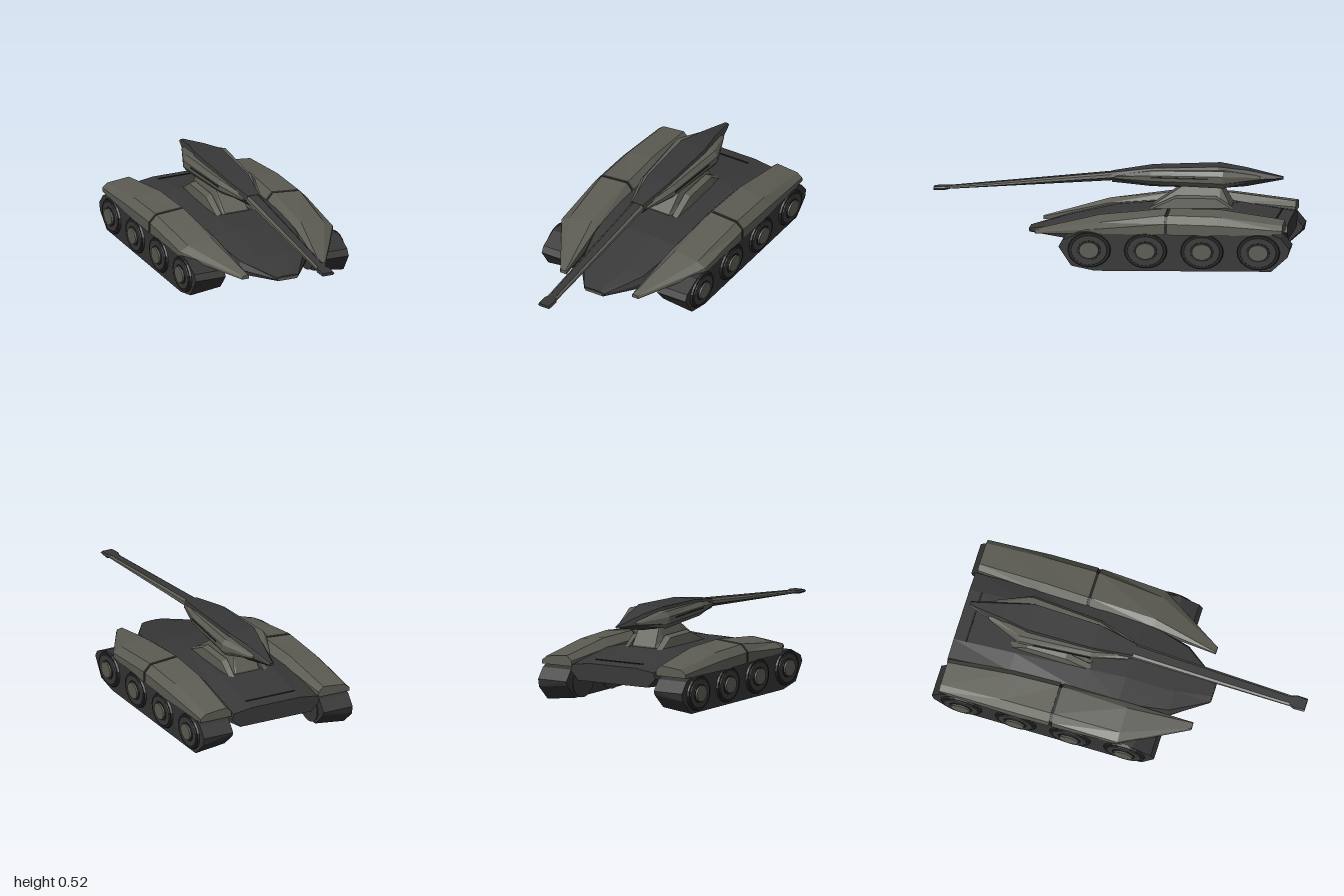
import * as THREE from 'three';

const mat = (name, color) => {
  const m = new THREE.MeshStandardMaterial({ color, flatShading: true });
  m.name = name;
  return m;
};

// Skins rings of [x, y] points (counterclockwise seen from the front), ordered back to front: [z, ring]
function loft(stations) {
  const pos = [];
  const rings = stations.map(([z, pts]) => pts.map(([x, y]) => [x, y, z]));
  const tri = (a, b, c) => pos.push(...a, ...b, ...c);
  const n = rings[0].length;
  for (let i = 0; i < rings.length - 1; i++) {
    for (let j = 0; j < n; j++) {
      const k = (j + 1) % n;
      tri(rings[i][j], rings[i][k], rings[i + 1][k]);
      tri(rings[i][j], rings[i + 1][k], rings[i + 1][j]);
    }
  }
  const back = rings[0], front = rings[rings.length - 1];
  for (let j = 1; j < n - 1; j++) {
    tri(back[0], back[j + 1], back[j]);
    tri(front[0], front[j], front[j + 1]);
  }
  const g = new THREE.BufferGeometry();
  g.setAttribute('position', new THREE.Float32BufferAttribute(pos, 3));
  g.computeVertexNormals();
  return g;
}

// Completes half a ring (bottom to top, x > 0) by mirroring
const sym = (half) => [...half, ...half.slice().reverse().map(([x, y]) => [-x, y])];
const symLoft = (st) => loft(st.map(([z, half]) => [z, sym(half)]));

// Reflects a geometry across x = 0 and keeps its faces outward
function mirrored(geo) {
  const g = geo.index ? geo.toNonIndexed() : geo.clone();
  const p = g.attributes.position;
  const v = [0, 1, 2].map(() => new THREE.Vector3());
  for (let i = 0; i < p.count; i += 3) {
    v.forEach((q, k) => q.fromBufferAttribute(p, i + k));
    [v[0], v[2], v[1]].forEach((q, k) => p.setXYZ(i + k, -q.x, q.y, q.z));
  }
  g.computeVertexNormals();
  return g;
}

export function createModel() {
  const root = new THREE.Group();
  root.name = 'hoverTank';
  root.name = 'tank';
  const light = mat('olive grey armour', 0x5c5c54);
  const dark = mat('dark grey armour', 0x383838);
  const track = mat('track grey', 0x343434);
  const black = mat('seam black', 0x222222);

  const add = (name, geo, material) => {
    const m = new THREE.Mesh(geo, material);
    m.name = name;
    root.add(m);
    return m;
  };
  const pair = (name, geo, material) => {
    add('left' + name, geo, material);
    add('right' + name, mirrored(geo), material);
  };

  // Hull
  add('hull', symLoft([
    [-0.97, [[0.22, 0.15], [0.27, 0.2], [0.26, 0.235], [0.15, 0.25]]],
    [-0.62, [[0.28, 0.13], [0.28, 0.22], [0.25, 0.28], [0.15, 0.305]]],
    [-0.2, [[0.28, 0.13], [0.28, 0.22], [0.25, 0.28], [0.12, 0.295]]],
    [0, [[0.28, 0.13], [0.28, 0.2], [0.25, 0.265], [0.1, 0.28]]],
    [0.27, [[0.2, 0.14], [0.21, 0.17], [0.19, 0.21], [0.08, 0.22]]],
    [0.47, [[0.055, 0.145], [0.065, 0.155], [0.065, 0.165], [0.03, 0.17]]],
  ]), dark);
  add('nosePlate', new THREE.BoxGeometry(0.11, 0.014, 0.006).translate(0, 0.156, 0.471), light);
  const line = new THREE.BoxGeometry(0.3, 0.006, 0.008).rotateX(-0.16).translate(0, 0.262, -0.9);
  add('deckSeam', line, black);

  // Fenders, split by a seam
  const seamRing = [[0.235, 0.21], [0.47, 0.21], [0.47, 0.27], [0.43, 0.312], [0.27, 0.325], [0.235, 0.285]];
  const inset = seamRing.map(([x, y]) => [0.352 + (x - 0.352) * 0.95, 0.26 + (y - 0.26) * 0.9]);
  pair('RearFender', loft([
    [-0.96, [[0.27, 0.22], [0.46, 0.22], [0.46, 0.24], [0.43, 0.265], [0.3, 0.278], [0.27, 0.25]]],
    [-0.6, [[0.24, 0.21], [0.47, 0.21], [0.47, 0.265], [0.43, 0.307], [0.28, 0.325], [0.24, 0.28]]],
    [-0.328, seamRing],
  ]), light);
  pair('FenderSeam', loft([[-0.33, inset], [-0.31, inset]]), black);
  pair('FrontFender', loft([
    [-0.312, seamRing],
    [0.06, [[0.23, 0.2], [0.46, 0.21], [0.46, 0.235], [0.41, 0.262], [0.27, 0.285], [0.23, 0.262]]],
    [0.42, [[0.21, 0.168], [0.25, 0.168], [0.25, 0.175], [0.245, 0.185], [0.215, 0.19], [0.21, 0.185]]],
  ]), light);

  // Tracks, with the underside rising inward
  const side = new THREE.Shape([
    [0.27, 0.135], [0.2, 0.03], [0.07, 0.004], [-0.9, 0.015], [-0.99, 0.095],
    [-1, 0.14], [-0.95, 0.2], [-0.9, 0.22], [0.15, 0.215], [0.25, 0.17],
  ].map(([z, y]) => new THREE.Vector2(z, y)));
  const belt = new THREE.ExtrudeGeometry(side, { depth: 0.18, bevelEnabled: false });
  belt.rotateY(-Math.PI / 2).translate(0.46, 0, 0);
  const bp = belt.attributes.position;
  for (let i = 0; i < bp.count; i++) {
    if (bp.getY(i) < 0.1) bp.setY(i, bp.getY(i) + (0.46 - bp.getX(i)) * 0.12);
  }
  belt.computeVertexNormals();
  pair('Track', belt, track);

  // Road wheels: tyre, recessed ring and hub
  const disc = (r, x0, x1, z) => new THREE.CylinderGeometry(r * 0.94, r, x1 - x0, 20)
    .rotateZ(-Math.PI / 2).scale(1, 0.9, 1.1).translate((x0 + x1) / 2, 0.12, z);
  [0.1, -0.21, -0.52, -0.83].forEach((z, i) => {
    pair('Tyre' + i, disc(0.11, 0.455, 0.47, z), black);
    pair('Rim' + i, disc(0.095, 0.46, 0.475, z), dark);
    pair('HubSurround' + i, disc(0.062, 0.46, 0.478, z), black);
    pair('Hub' + i, disc(0.052, 0.46, 0.487, z), light);
    pair('InnerWheel' + i, disc(0.1, 0.272, 0.285, z), dark);
  });

  // Turret pedestal and its side cheeks
  add('pedestal', symLoft([
    [-0.64, [[0.09, 0.28], [0.08, 0.3], [0.07, 0.31]]],
    [-0.58, [[0.09, 0.28], [0.085, 0.34], [0.06, 0.42]]],
    [-0.38, [[0.09, 0.28], [0.085, 0.34], [0.06, 0.42]]],
    [-0.2, [[0.085, 0.28], [0.08, 0.29], [0.07, 0.3]]],
  ]), light);
  pair('Cheek', loft([
    [-0.66, [[0.085, 0.27], [0.125, 0.27], [0.12, 0.29], [0.09, 0.3]]],
    [-0.56, [[0.08, 0.27], [0.13, 0.27], [0.12, 0.355], [0.085, 0.365]]],
    [-0.34, [[0.08, 0.27], [0.13, 0.27], [0.12, 0.355], [0.085, 0.365]]],
    [-0.2, [[0.085, 0.27], [0.125, 0.27], [0.12, 0.29], [0.09, 0.3]]],
  ]), light);

  // Turret
  add('turret', symLoft([
    [-0.92, [[0.008, 0.45], [0.016, 0.457], [0.008, 0.465]]],
    [-0.72, [[0.04, 0.415], [0.075, 0.455], [0.045, 0.505]]],
    [-0.57, [[0.05, 0.403], [0.1, 0.46], [0.078, 0.525]]],
    [-0.2, [[0.05, 0.408], [0.09, 0.46], [0.07, 0.51]]],
    [0.02, [[0.03, 0.425], [0.045, 0.45], [0.035, 0.478]]],
  ]), dark);
  const pod = (xi, xo, h, y = 0.46) => [
    [xi, y - h], [xo - 0.02, y - h], [xo, y - h * 0.4], [xo, y + h * 0.4], [xo - 0.02, y + h], [xi, y + h]];
  pair('TurretPod', loft([
    [-0.8, pod(0.03, 0.056, 0.012)],
    [-0.6, pod(0.07, 0.138, 0.047)],
    [-0.2, pod(0.06, 0.11, 0.038)],
    [0, pod(0.03, 0.055, 0.012, 0.452)],
  ]), light);
  pair('PodSlot', loft([
    [-0.52, [[0.12, 0.461], [0.135, 0.461], [0.135, 0.469], [0.12, 0.469]]],
    [-0.2, [[0.1, 0.461], [0.113, 0.461], [0.113, 0.469], [0.1, 0.469]]],
  ]), black);

  // Barrel with edge rails and muzzle block
  add('barrel', symLoft([
    [-0.02, [[0.025, 0.435], [0.036, 0.455], [0.025, 0.48]]],
    [0.94, [[0.02, 0.366], [0.027, 0.373], [0.018, 0.381]]],
  ]), dark);
  pair('BarrelRail', loft([
    [-0.02, [[0.026, 0.45], [0.043, 0.452], [0.04, 0.47], [0.026, 0.481]]],
    [0.92, [[0.02, 0.37], [0.031, 0.371], [0.029, 0.377], [0.019, 0.383]]],
  ]), light);
  add('muzzle', symLoft([
    [0.91, [[0.022, 0.368], [0.03, 0.376], [0.022, 0.384]]],
    [0.94, [[0.034, 0.363], [0.041, 0.373], [0.034, 0.383]]],
    [1, [[0.03, 0.362], [0.039, 0.37], [0.03, 0.379]]],
  ]), dark);

  return root;
}
